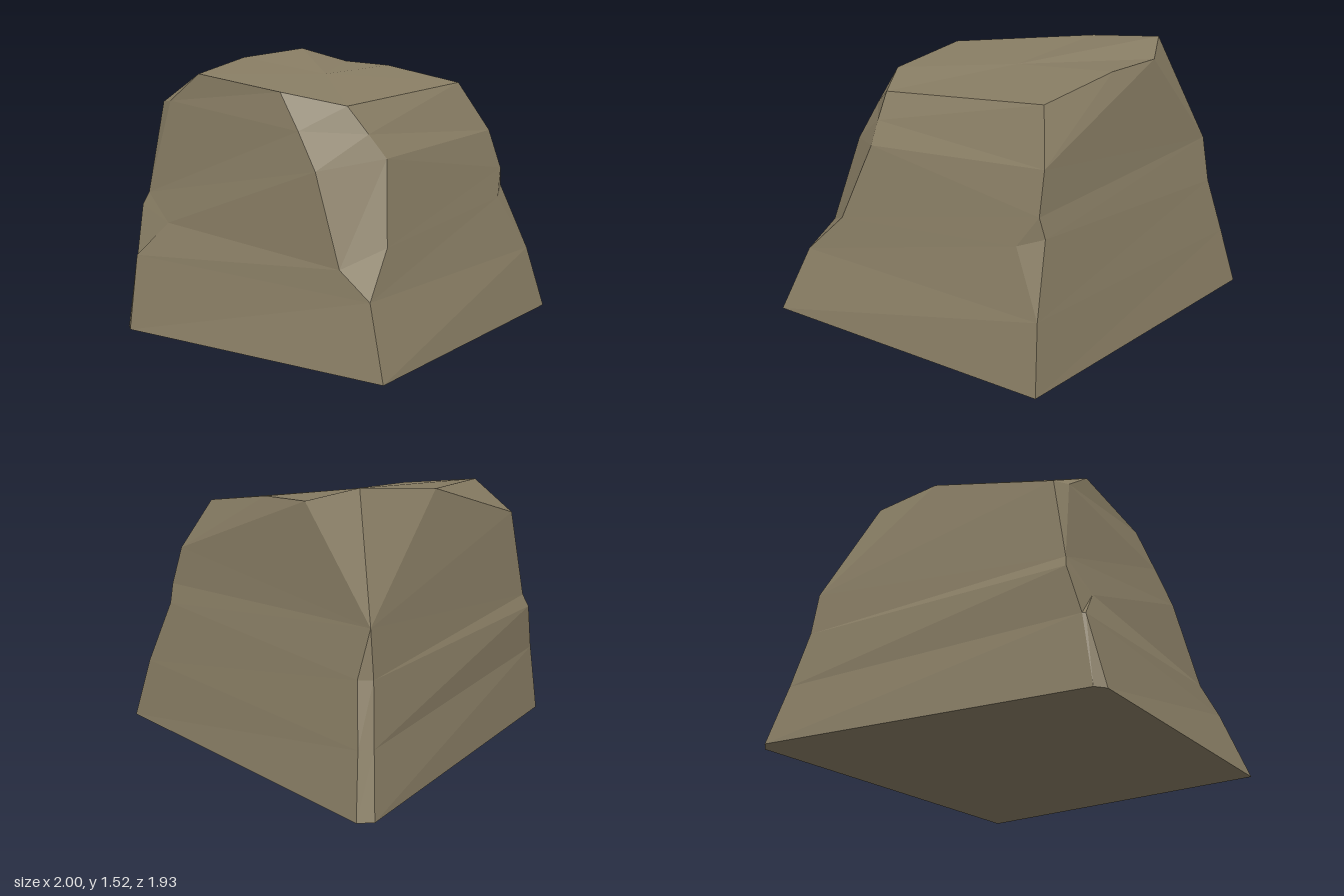
import * as THREE from 'three';

// Ridge lines climbing the rock from ground to summit, in order around it
// (starting front left, then front right, back right, back left).
const RIDGES = [
  // front left corner, side edge
  [[-0.69, 0, 0.92], [-0.67, 0.4, 0.86], [-0.69, 0.67, 0.79], [-0.66, 0.74, 0.77], [-0.62, 1.24, 0.68], [-0.67, 1.47, -0.08]],
  // front left corner, front edge with a chipped notch
  [[-0.635, 0, 0.965], [-0.66, 0.4, 0.875], [-0.48, 0.59, 0.81], [-0.66, 0.74, 0.77], [-0.53, 1.25, 0.72], [-0.33, 1.4, 0.71]],
  // front right corner, front edge of the broad chamfer
  [[1, 0, 0.95], [0.86, 0.35, 0.85], [0.67, 0.48, 0.83], [0.49, 0.94, 0.78], [0.36, 1.13, 0.745], [0.22, 1.32, 0.71]],
  // front right corner, side edge of the chamfer
  [[1, 0, 0.95], [0.86, 0.35, 0.85], [0.81, 0.57, 0.62], [0.71, 0.99, 0.47], [0.62, 1.11, 0.5], [0.51, 1.25, 0.53]],
  // back right corner, side edge with a chipped notch
  [[1, 0, -0.845], [0.91, 0.35, -0.79], [0.81, 0.67, -0.59], [0.77, 0.83, -0.7], [0.7, 1.05, -0.68], [0.55, 1.33, -0.57]],
  // back right corner, back edge
  [[1, 0, -0.845], [0.91, 0.35, -0.79], [0.76, 0.72, -0.73], [0.77, 0.83, -0.7], [0.7, 1.05, -0.68], [0.02, 1.42, -0.64]],
  // back left corner, back edge
  [[-0.94, 0, -0.965], [-0.88, 0.33, -0.89], [-0.81, 0.65, -0.82], [-0.84, 0.9, -0.76], [-0.84, 0.9, -0.76], [-0.33, 1.44, -0.69]],
  // back left corner, side edge
  [[-1, 0, -0.9], [-0.93, 0.33, -0.83], [-0.87, 0.65, -0.77], [-0.84, 0.9, -0.76], [-0.84, 0.9, -0.76], [-0.59, 1.52, -0.57]],
];

function rockGeometry() {
  const positions = [];
  const edge1 = new THREE.Vector3(), edge2 = new THREE.Vector3();

  // Add a triangle unless ridges meet there and it has no area
  const triangle = (...corners) => {
    const [a, b, c] = corners.map((p) => new THREE.Vector3(...p));
    edge1.subVectors(b, a);
    edge2.subVectors(c, a);
    if (edge1.cross(edge2).length() < 1e-6) return;
    for (const p of [a, b, c]) positions.push(p.x, p.y, p.z);
  };

  const top = RIDGES[0].length - 1;
  RIDGES.forEach((ridge, i) => {
    const next = RIDGES[(i + 1) % RIDGES.length];
    // Flanks between neighbouring ridges
    for (let row = 0; row < top; row++) {
      triangle(ridge[row], next[row], next[row + 1]);
      triangle(ridge[row], next[row + 1], ridge[row + 1]);
    }
    // Summit and underside
    triangle(ridge[top], next[top], [0, 1.385, 0]);
    triangle(next[0], ridge[0], [0, 0, 0]);
  });

  const geometry = new THREE.BufferGeometry();
  geometry.setAttribute('position', new THREE.Float32BufferAttribute(positions, 3));
  geometry.computeVertexNormals();
  return geometry;
}

export function createModel() {
  const stone = new THREE.MeshStandardMaterial({ color: 0x877c63 });
  stone.name = 'stone';

  const boulder = new THREE.Mesh(rockGeometry(), stone);
  boulder.name = 'boulder';

  const model = new THREE.Group();
  model.name = 'rock';
  model.add(boulder);
  return model;
}
